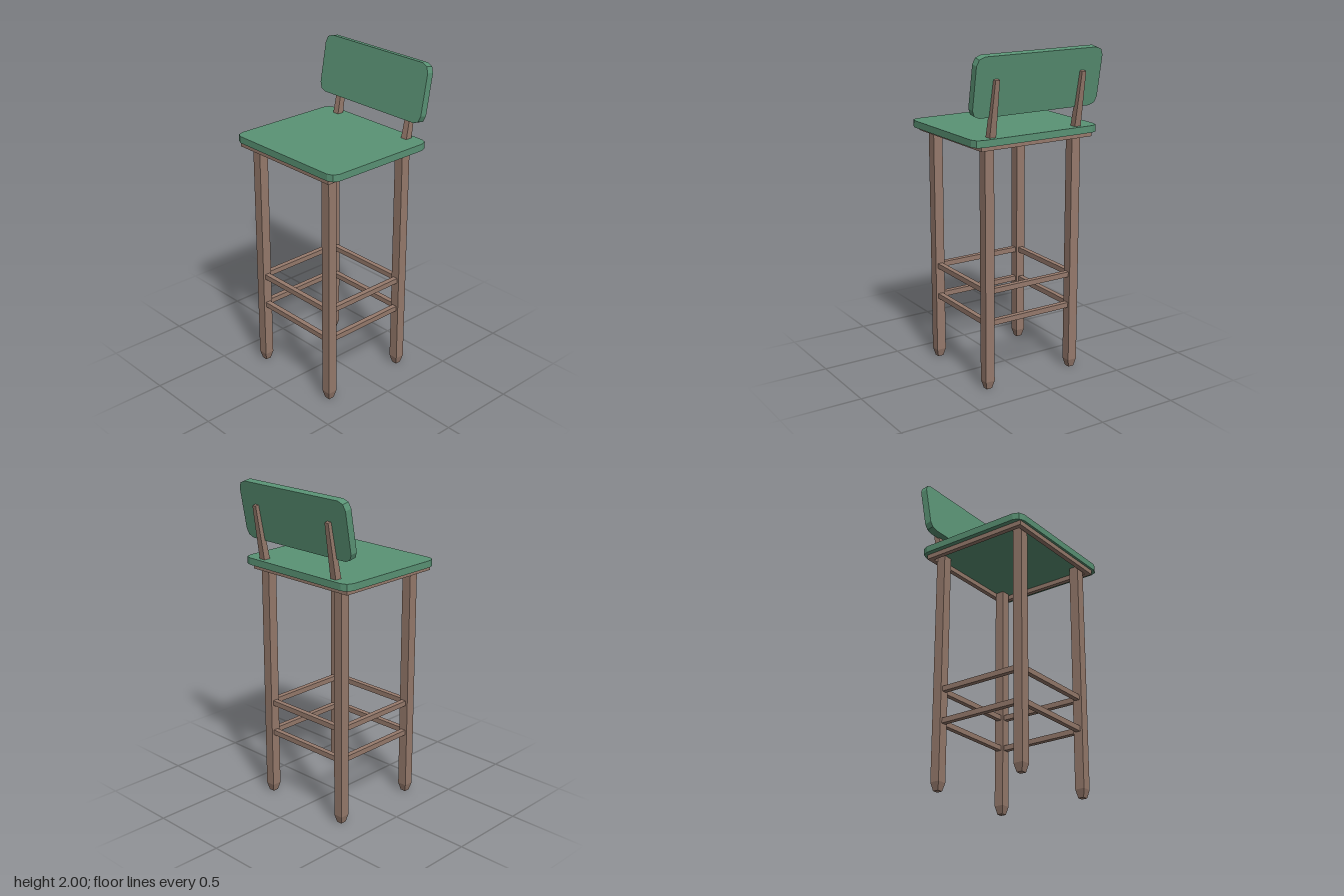
import * as THREE from 'three';

export function createModel() {
  const model = new THREE.Group();
  const green = new THREE.MeshStandardMaterial({ name: 'green paint', color: 0x5a9375 });
  const wood = new THREE.MeshStandardMaterial({ name: 'brown wood', color: 0x967a6c });

  const add = (name, geometry, material, x, y, z) => {
    const mesh = new THREE.Mesh(geometry, material);
    mesh.name = name;
    mesh.position.set(x, y, z);
    model.add(mesh);
    return mesh;
  };

  // Flat slab with corners rounded in two facets, centred on its origin
  const slab = (w, h, depth, r = 0.05) => {
    const s = new THREE.Shape();
    const a = w / 2 - r, b = h / 2 - r, q = Math.PI / 2;
    s.absarc(a, b, r, 0, q);
    s.absarc(-a, b, r, q, 2 * q);
    s.absarc(-a, -b, r, 2 * q, 3 * q);
    s.absarc(a, -b, r, 3 * q, 4 * q);
    s.closePath();
    return new THREE.ExtrudeGeometry(s, { depth, bevelEnabled: false, curveSegments: 1 })
      .translate(0, 0, -depth / 2);
  };

  // Square bar that changes width from bottom to top
  const taperedBar = (bottom, top, h) => {
    const g = new THREE.BoxGeometry(1, h, 1);
    const p = g.attributes.position;
    for (let i = 0; i < p.count; i++) {
      const w = p.getY(i) < 0 ? bottom : top;
      p.setXYZ(i, p.getX(i) * w, p.getY(i), p.getZ(i) * w);
    }
    const flat = g.toNonIndexed();
    flat.computeVertexNormals();
    return flat;
  };

  // Seat
  add('seat', slab(0.75, 0.85, 0.042).rotateX(-Math.PI / 2), green, -0.015, 1.51, 0);

  // Frame strips under the seat
  const strip = 0.03;
  for (const z of [-0.38, 0.355])
    add('seatFrameSide', new THREE.BoxGeometry(0.705, 0.03, strip), wood, -0.0225, 1.475, z);
  for (const x of [-0.36, 0.315])
    add('seatFrameEnd', new THREE.BoxGeometry(strip, 0.03, 0.705), wood, x, 1.475, -0.0125);

  // Legs with tapered feet
  const legX = [-0.305, 0.275], legZ = [-0.3, 0.3], legW = 0.06;
  for (const x of legX) for (const z of legZ) {
    add('leg', new THREE.BoxGeometry(legW, 1.44, legW), wood, x, 0.77, z);
    add('foot', taperedBar(0.036, legW, 0.05), wood, x, 0.025, z);
  }

  // Two levels of rungs on all four sides
  for (const y of [0.412, 0.61]) {
    for (const z of legZ)
      add('sideRung', new THREE.BoxGeometry(0.53, 0.032, 0.032), wood, -0.015, y, z);
    for (const x of legX)
      add('crossRung', new THREE.BoxGeometry(0.032, 0.032, 0.55), wood, x, y, 0);
  }

  // Leaning backrest and its tapered posts
  const lean = -0.178;
  const back = slab(0.85, 0.352, 0.045).rotateY(Math.PI / 2);
  add('backrest', back, green, 0.331, 1.823, 0).rotation.z = lean;
  for (const z of [-0.29, 0.295])
    add('backPost', taperedBar(0.043, 0.028, 0.35), wood, 0.339, 1.689, z).rotation.z = lean;

  return model;
}
